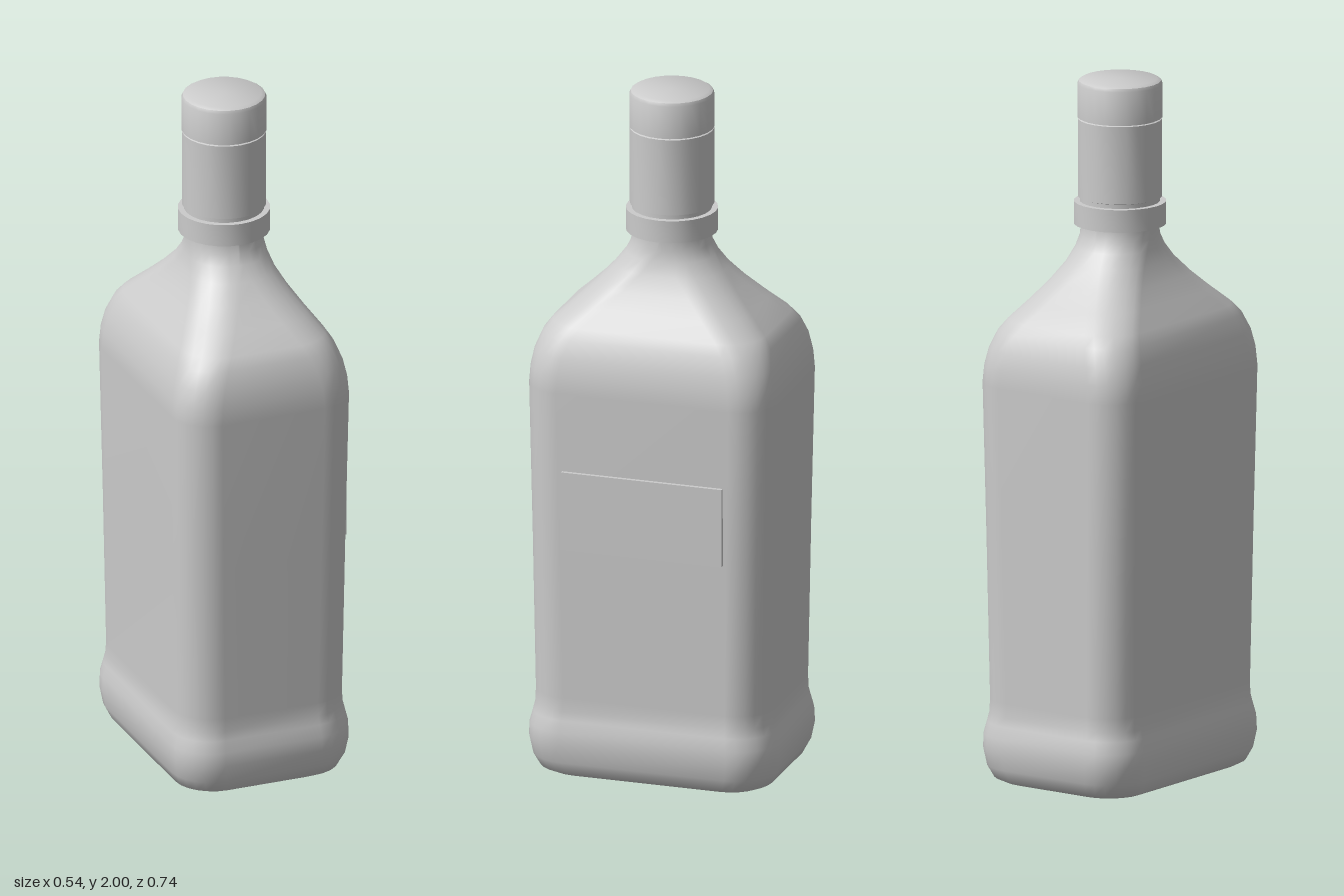
import * as THREE from 'three';
import { toCreasedNormals } from 'three/addons/utils/BufferGeometryUtils.js';

const material = new THREE.MeshStandardMaterial({ color: 0xcccccc });
const CORNER_STEPS = 6;

// Rounded-rectangle outline: half width, half depth, corner radius
function outline(hx, hz, r) {
  const points = [];
  const signs = [[1, 1], [-1, 1], [-1, -1], [1, -1]];
  signs.forEach(([sx, sz], corner) => {
    for (let i = 0; i <= CORNER_STEPS; i++) {
      const a = (corner + i / CORNER_STEPS) * Math.PI / 2;
      points.push([sx * (hx - r) + r * Math.cos(a), sz * (hz - r) + r * Math.sin(a)]);
    }
  });
  return points;
}

// Skin a stack of [y, halfWidth, halfDepth, cornerRadius] sections, closing the bottom
function loftBody(sections) {
  const positions = [], index = [];
  const n = 4 * (CORNER_STEPS + 1);
  for (const [y, hx, hz, r] of sections) {
    for (const [x, z] of outline(hx, hz, r)) positions.push(x, y, z);
  }
  for (let s = 0; s < sections.length - 1; s++) {
    for (let i = 0; i < n; i++) {
      const a = s * n + i, b = s * n + (i + 1) % n;
      index.push(a, a + n, b, b, a + n, b + n);
    }
  }
  const centre = positions.length / 3;
  positions.push(0, sections[0][0], 0);
  for (let i = 0; i < n; i++) index.push(centre, i, (i + 1) % n);
  const geometry = new THREE.BufferGeometry();
  geometry.setAttribute('position', new THREE.Float32BufferAttribute(positions, 3));
  geometry.setIndex(index);
  geometry.computeVertexNormals();
  return geometry;
}

// Turned part from [radius, y] points, with sharp edges kept
function turned(profile) {
  const points = profile.map(([r, y]) => new THREE.Vector2(r, y));
  return toCreasedNormals(new THREE.LatheGeometry(points, 24), 0.6);
}

export function createModel() {
  const group = new THREE.Group();
  const add = (name, geometry, x = 0, y = 0, z = 0) => {
    const mesh = new THREE.Mesh(geometry, material);
    mesh.name = name;
    mesh.position.set(x, y, z);
    group.add(mesh);
  };
  const axis = -0.003;

  // Bottle with bulging foot, slightly flared sides, sloping shoulders and round neck
  add('bottleBody', loftBody([
    [0, 0.2, 0.295, 0.09],
    [0.003, 0.222, 0.318, 0.1],
    [0.015, 0.243, 0.341, 0.11],
    [0.05, 0.259, 0.359, 0.118],
    [0.1, 0.267, 0.368, 0.12],
    [0.14, 0.266, 0.366, 0.12],
    [0.175, 0.258, 0.357, 0.115],
    [0.2, 0.252, 0.351, 0.11],
    [0.24, 0.251, 0.35, 0.11],
    [0.7, 0.258, 0.357, 0.11],
    [1.15, 0.266, 0.365, 0.11],
    [1.2, 0.262, 0.362, 0.11],
    [1.25, 0.252, 0.353, 0.11],
    [1.3, 0.234, 0.334, 0.11],
    [1.33, 0.216, 0.312, 0.11],
    [1.38, 0.181, 0.258, 0.11],
    [1.43, 0.149, 0.206, 0.108],
    [1.48, 0.124, 0.16, 0.107],
    [1.52, 0.113, 0.13, 0.106],
    [1.55, 0.109, 0.115, 0.106],
    [1.58, 0.109, 0.11, 0.107],
    [1.62, 0.109, 0.109, 0.108],
  ]), axis);

  // Collar around the neck
  add('neckCollar', turned([
    [0.1, 1.583], [0.13, 1.583], [0.13, 1.648], [0.1, 1.648],
  ]), axis);

  // Cap sleeve, recessed at its foot
  add('capSleeve', turned([
    [0.113, 1.64], [0.113, 1.66], [0.119, 1.662], [0.119, 1.885], [0.114, 1.887], [0.114, 1.892],
  ]), axis);

  // Cap top with a bevelled rim
  add('capTop', turned([
    [0.11, 1.89], [0.12, 1.89], [0.12, 1.985], [0.116, 1.994], [0.106, 2], [0, 2],
  ]), axis);

  // Raised label plate on the left side
  add('labelPlate', new THREE.BoxGeometry(0.03, 0.23, 0.476), 0.255, 0.805, 0);

  return group;
}
